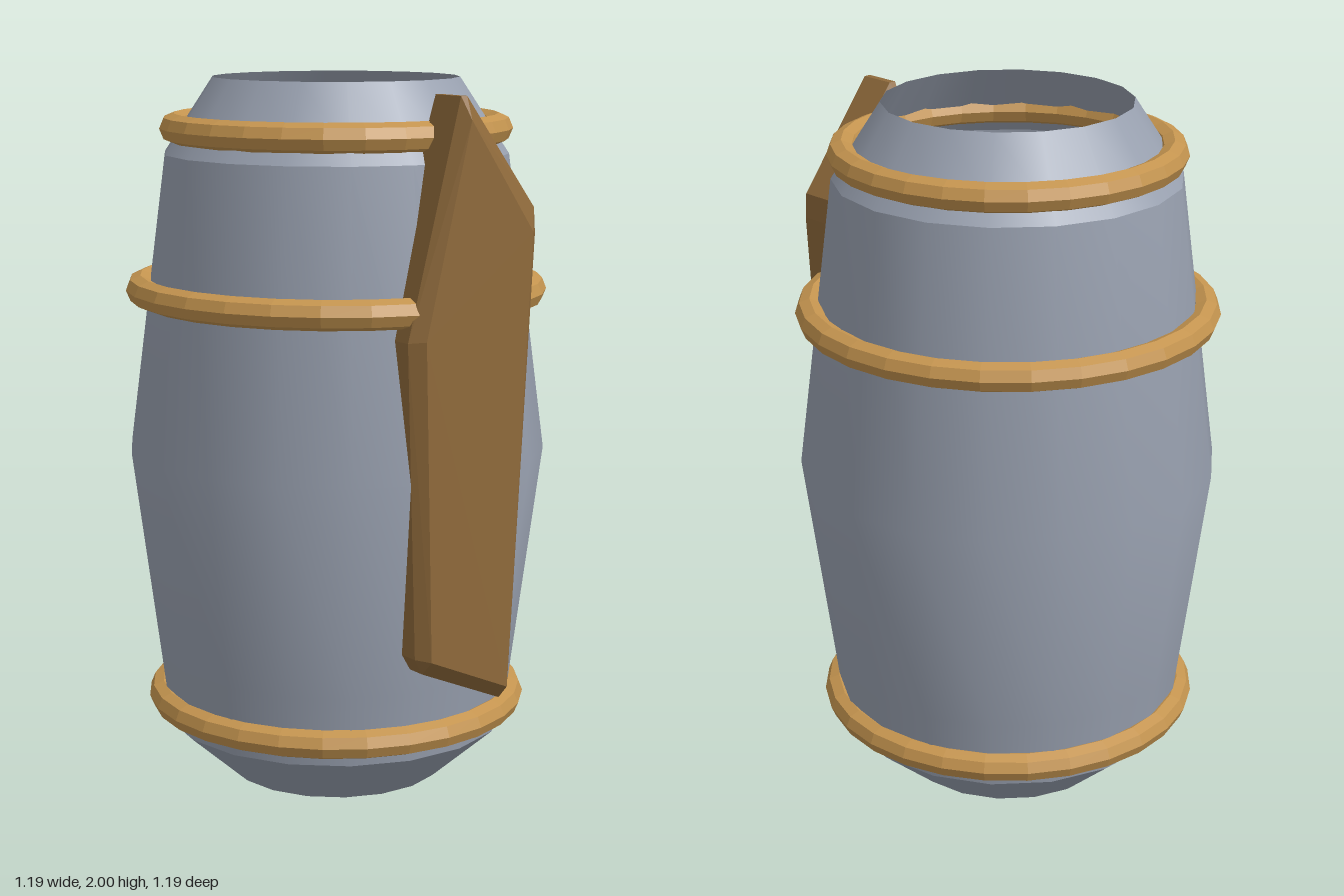
import * as THREE from 'three';
import { ConvexGeometry } from 'three/addons/geometries/ConvexGeometry.js';

export function createModel() {
  const model = new THREE.Group();
  model.name = 'barrel';

  const material = (name, color, extra = {}) => {
    const m = new THREE.MeshStandardMaterial({ color, ...extra });
    m.name = name;
    return m;
  };
  const grey = material('grey shell', 0x99a1b0, { side: THREE.DoubleSide });
  const gold = material('golden hoop', 0xc4944f, { flatShading: true });
  const brown = material('brown wood', 0x8f6a3b, { flatShading: true });

  const add = (name, geometry, mat) => {
    const mesh = new THREE.Mesh(geometry, mat);
    mesh.name = name;
    model.add(mesh);
    return mesh;
  };

  // Thin shell, open at both ends; separate lathes keep the shoulder edges crisp
  const lathe = (name, points) => add(name, new THREE.LatheGeometry(
    points.map(([r, y]) => new THREE.Vector2(r, y)), 18, Math.PI / 2), grey);
  lathe('lowerRim', [[0.31, 0], [0.49, 0.16]]);
  lathe('body', [[0.49, 0.16], [0.515, 0.36], [0.592, 0.96], [0.483, 1.79]]);
  lathe('upperRim', [[0.483, 1.79], [0.46, 1.825], [0.345, 2]]);

  // Hoops: [name, height, radius]
  for (const [name, y, radius] of [
    ['bottomHoop', 0.228, 0.505], ['middleHoop', 1.413, 0.552], ['topHoop', 1.86, 0.452],
  ]) {
    const hoop = add(name, new THREE.TorusGeometry(radius, 0.041, 8, 28), gold);
    hoop.rotation.x = Math.PI / 2;
    hoop.position.y = y;
  }

  // Pointed front plank with chamfered front and back edges
  const outer = [[0, 1.97], [0.02, 1.97], [0.25, 1.67], [0.255, 1.6], [0.185, 0.36],
    [0.155, 0.32], [-0.11, 0.435], [-0.135, 0.48], [-0.165, 1.34]];
  const inner = [[0.01, 1.91], [0.22, 1.61], [0.155, 0.36], [-0.105, 0.475], [-0.13, 1.345]];
  const layer = (outline, z) => outline.map(([x, y]) => new THREE.Vector3(x, y, z));
  add('frontPlank', new ConvexGeometry([
    ...layer(inner, 0.42), ...layer(outer, 0.457), ...layer(outer, 0.565), ...layer(inner, 0.6),
  ]), brown);

  return model;
}
